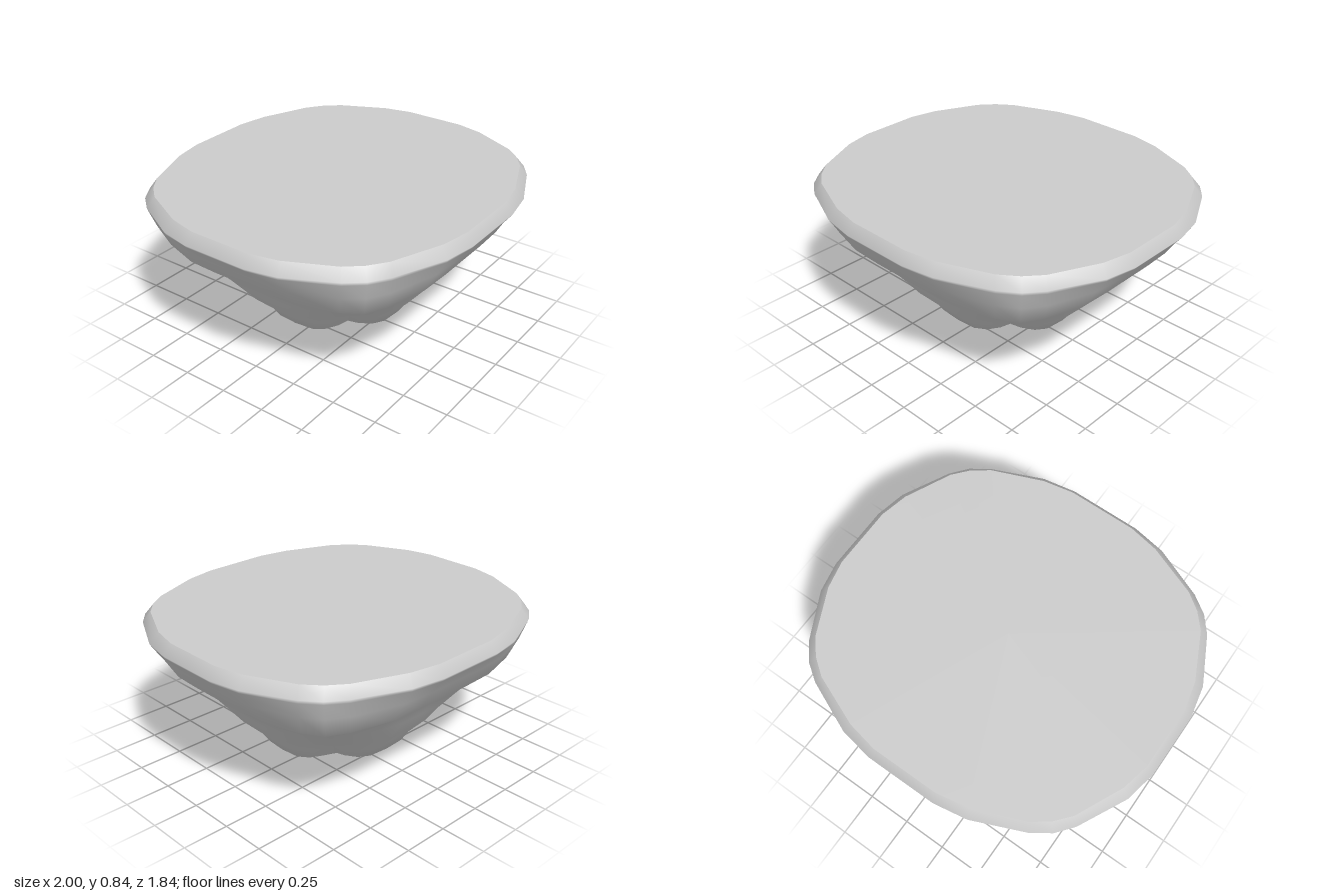
import * as THREE from 'three';

// Each level: height and one eighth of its outline, from the axis to the diagonal.
const LEVELS = [
  // bevelled rim
  [0.832, [[0.955, 0], [0.955, 0.19], [0.92, 0.36], [0.8, 0.635], [0.727, 0.727]]],
  [0.775, [[1, 0], [1, 0.2], [0.965, 0.385], [0.835, 0.665], [0.762, 0.762]]],
  [0.755, [[0.985, 0], [0.985, 0.2], [0.955, 0.38], [0.83, 0.66], [0.757, 0.757]]],
  // band under the rim, ending in a small ledge
  [0.665, [[0.91, 0], [0.91, 0.19], [0.895, 0.37], [0.805, 0.63], [0.735, 0.735]]],
  [0.55, [[0.832, 0], [0.832, 0.18], [0.825, 0.36], [0.76, 0.59], [0.7, 0.7]]],
  [0.5, [[0.755, 0], [0.755, 0.16], [0.74, 0.32], [0.67, 0.52], [0.615, 0.615]]],
  // tapering sides with grooves on the diagonals
  [0.4, [[0.68, 0], [0.68, 0.15], [0.65, 0.29], [0.575, 0.43], [0.505, 0.505]]],
  [0.27, [[0.58, 0], [0.575, 0.14], [0.54, 0.24], [0.46, 0.335], [0.385, 0.385]]],
  [0.16, [[0.465, 0], [0.46, 0.13], [0.42, 0.2], [0.35, 0.25], [0.28, 0.28]]],
  // four-lobed foot
  [0.09, [[0.42, 0], [0.41, 0.12], [0.37, 0.18], [0.3, 0.22], [0.235, 0.235]]],
  [0.03, [[0.25, 0], [0.245, 0.1], [0.22, 0.13], [0.19, 0.15], [0.17, 0.17]]],
  [0, [[0.13, 0], [0.13, 0.06], [0.12, 0.08], [0.11, 0.09], [0.1, 0.1]]],
];
const DEPTH = 0.92;
const N = 32;

// Mirror the eighth across the diagonal, then turn it into four quarters.
function ring([y, eighth]) {
  const quarter = [...eighth, ...eighth.slice(1, 4).reverse().map(([a, b]) => [b, a])];
  const points = [];
  for (let q = 0; q < 4; q++) {
    for (const [a, b] of quarter) {
      let x = a, z = b;
      for (let k = 0; k < q; k++) [x, z] = [-z, x];
      points.push(x, y, z * DEPTH);
    }
  }
  return points;
}

function makeMesh(name, positions, indices) {
  const geometry = new THREE.BufferGeometry();
  geometry.setAttribute('position', new THREE.Float32BufferAttribute(positions, 3));
  geometry.setIndex(indices);
  geometry.computeVertexNormals();
  const mesh = new THREE.Mesh(geometry, new THREE.MeshStandardMaterial({ color: 0xcccccc }));
  mesh.name = name;
  return mesh;
}

export function createModel() {
  const group = new THREE.Group();
  group.name = 'floatingIsland';

  // Rock body: smooth loft from the bevelled rim down to the lobed foot
  const positions = LEVELS.flatMap(ring);
  const indices = [];
  for (let r = 0; r < LEVELS.length - 1; r++) {
    for (let j = 0; j < N; j++) {
      const k = (j + 1) % N;
      const a = r * N + j, b = r * N + k, c = a + N, d = b + N;
      indices.push(a, b, c, b, d, c);
    }
  }
  const last = (LEVELS.length - 1) * N;
  const foot = positions.length / 3;
  positions.push(0, 0, 0);
  for (let j = 0; j < N; j++) indices.push(foot, last + j, last + ((j + 1) % N));
  group.add(makeMesh('rockBody', positions, indices));

  // Level ground on top, with its own sharp edge
  const top = [...ring(LEVELS[0]), 0, 0.837, 0];
  const topIndices = [];
  for (let j = 0; j < N; j++) topIndices.push(N, (j + 1) % N, j);
  group.add(makeMesh('topGround', top, topIndices));

  return group;
}
